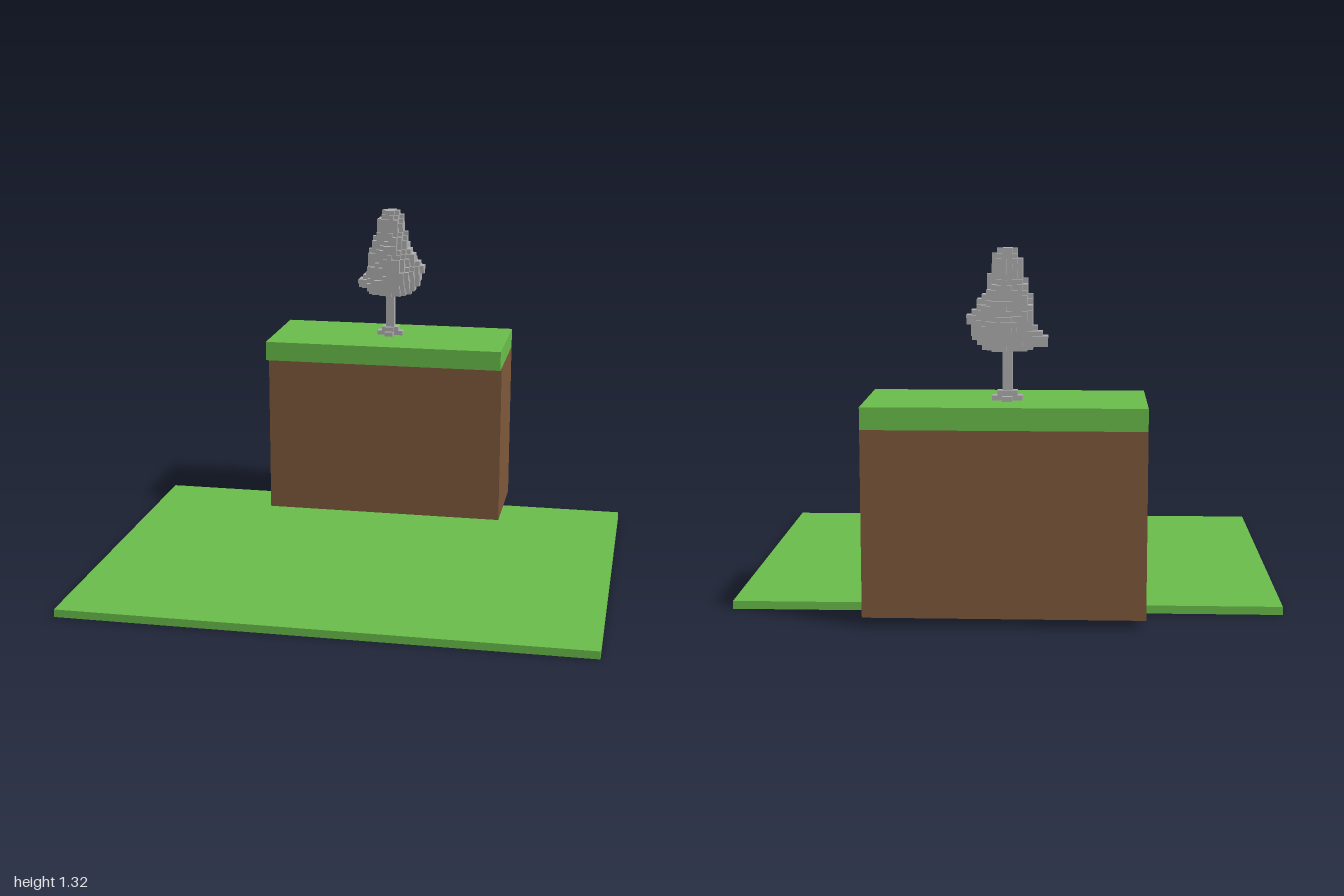
import * as THREE from 'three';
import { mergeGeometries } from 'three/addons/utils/BufferGeometryUtils.js';

const grass = new THREE.MeshStandardMaterial({ name: 'grass green', color: 0x6abf4b });
const earth = new THREE.MeshStandardMaterial({ name: 'earth brown', color: 0x7f5a3c });
const stone = new THREE.MeshStandardMaterial({ name: 'tree grey', color: 0xb0b0b0 });

const VOXEL = 0.018;
const BASE = new THREE.Vector3(-0.006, 0.78, -0.65);

// Box from its minimum and maximum corners
function slab(name, material, [x0, y0, z0], [x1, y1, z1]) {
  const mesh = new THREE.Mesh(new THREE.BoxGeometry(x1 - x0, y1 - y0, z1 - z0), material);
  mesh.position.set((x0 + x1) / 2, (y0 + y1) / 2, (z0 + z1) / 2);
  mesh.name = name;
  return mesh;
}

// Crown reach at each height: [y, left, right, back, front] from the trunk axis
const CROWN = [
  [0.186, 0.085, 0.085, 0.070, 0.075],
  [0.220, 0.105, 0.110, 0.090, 0.112],
  [0.275, 0.095, 0.136, 0.128, 0.112],
  [0.340, 0.092, 0.112, 0.105, 0.105],
  [0.390, 0.080, 0.075, 0.102, 0.080],
  [0.440, 0.058, 0.060, 0.066, 0.066],
  [0.500, 0.050, 0.050, 0.060, 0.055],
  [0.545, 0.026, 0.030, 0.028, 0.028],
];

function reach(y) {
  let i = 0;
  while (i < CROWN.length - 2 && y > CROWN[i + 1][0]) i++;
  const t = THREE.MathUtils.clamp((y - CROWN[i][0]) / (CROWN[i + 1][0] - CROWN[i][0]), 0, 1);
  return CROWN[i].map((v, k) => THREE.MathUtils.lerp(v, CROWN[i + 1][k], t));
}

function inCrown(x, y, z) {
  if (y < 0.186 || y > 0.54) return false;
  const [, left, right, back, front] = reach(y);
  const dx = x / (x < 0 ? left : right);
  const dz = z / (z < 0 ? back : front);
  const angle = Math.atan2(z, x);
  const ripple = 0.07 * Math.cos(5 * angle + 1.2 * Math.sin(y * 30)) + 0.05 * Math.sin(y * 90 + 3 * angle);
  // Low side branch
  const branch = Math.hypot((x + 0.108) / 0.042, (y - 0.222) / 0.025, (z + 0.04) / 0.05) < 1;
  return branch || Math.hypot(dx, dz) < 0.98 + ripple;
}

function inTrunk(x, y, z) {
  const ax = Math.abs(x), az = Math.abs(z);
  if (y > 0.23) return false;
  if (y < VOXEL) return (ax < 0.05 && az < 0.02) || (az < 0.055 && ax < 0.02);
  if (y < 2 * VOXEL) return (ax < 0.037 && az < 0.02) || (az < 0.037 && ax < 0.02);
  return ax < 0.019 && az < 0.019;
}

// Outer faces of every cell that passes the test
function voxelGeometry(test) {
  const filled = (i, j, k) =>
    j >= 0 && test((i + 0.5) * VOXEL, (j + 0.5) * VOXEL, (k + 0.5) * VOXEL);
  const sides = [[1, 0, 0], [-1, 0, 0], [0, 1, 0], [0, -1, 0], [0, 0, 1], [0, 0, -1]];
  const faces = sides.map((s) => {
    const face = new THREE.PlaneGeometry(VOXEL, VOXEL).translate(0, 0, VOXEL / 2);
    const turn = new THREE.Quaternion().setFromUnitVectors(
      new THREE.Vector3(0, 0, 1), new THREE.Vector3(...s));
    return face.applyQuaternion(turn);
  });
  const parts = [];
  for (let j = 0; j < 30; j++)
    for (let i = -10; i < 10; i++)
      for (let k = -10; k < 10; k++) {
        if (!filled(i, j, k)) continue;
        sides.forEach(([a, b, c], n) => {
          if (filled(i + a, j + b, k + c)) return;
          parts.push(faces[n].clone().translate((i + 0.5) * VOXEL, (j + 0.5) * VOXEL, (k + 0.5) * VOXEL));
        });
      }
  return mergeGeometries(parts);
}

export function createModel() {
  const model = new THREE.Group();
  model.name = 'cliffWithTree';

  // Ground and raised cliff with an overhanging grass cap
  model.add(
    slab('ground', grass, [-1, 0, -0.65], [1, 0.03, 0.85]),
    slab('cliff', earth, [-0.5, 0.03, -0.85], [0.5, 0.7, -0.45]),
    slab('cliffGrass', grass, [-0.5, 0.7, -0.85], [0.5, 0.78, -0.4]),
  );

  // Block tree
  const tree = new THREE.Group();
  tree.name = 'tree';
  tree.position.copy(BASE);
  for (const [name, test] of [['trunk', inTrunk], ['crown', inCrown]]) {
    const mesh = new THREE.Mesh(voxelGeometry(test), stone);
    mesh.name = name;
    tree.add(mesh);
  }
  model.add(tree);
  return model;
}
